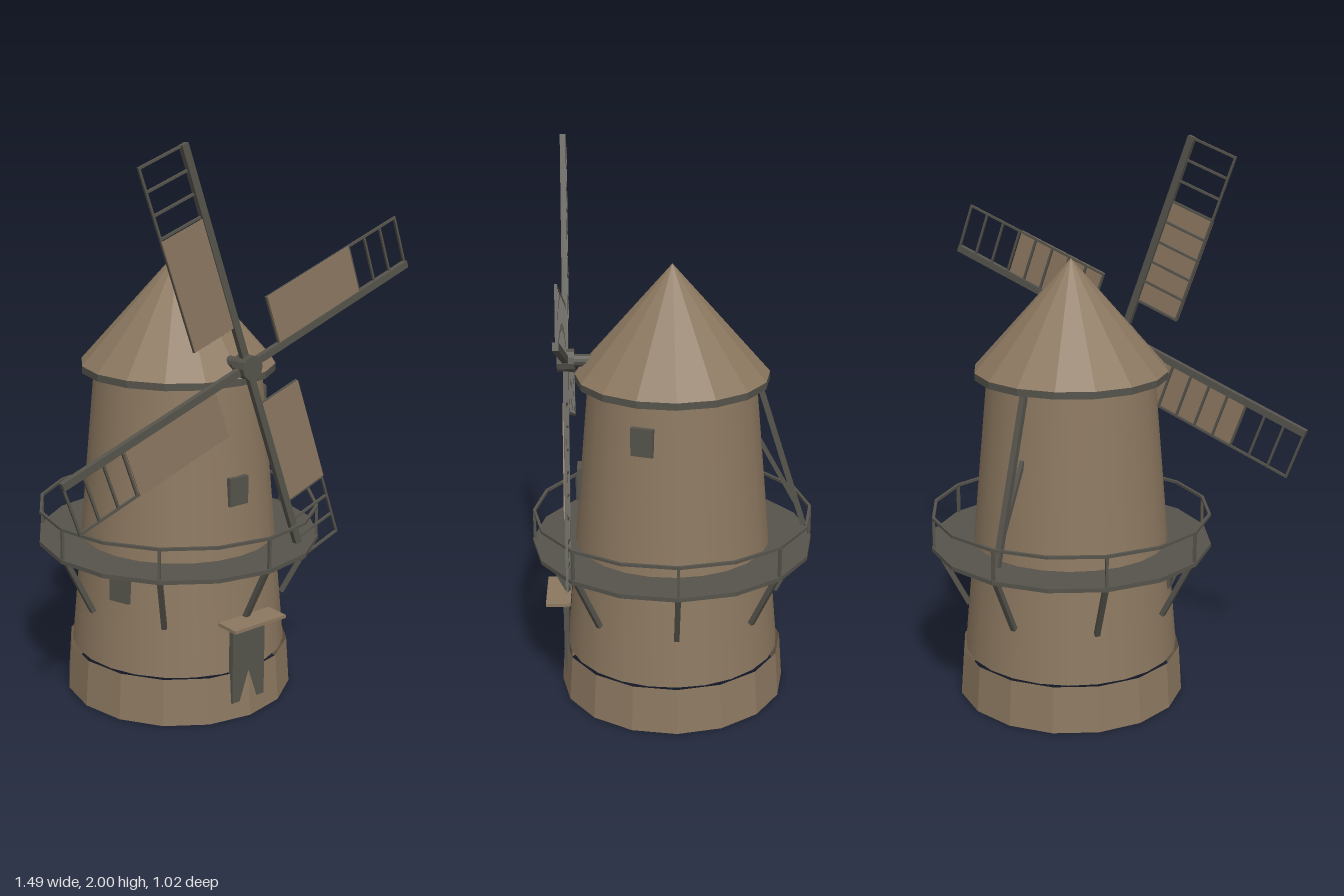
import * as THREE from 'three';

const tan = new THREE.MeshStandardMaterial({ color: 0x8c7860, side: THREE.DoubleSide });
tan.name = 'weathered tan';
const grey = new THREE.MeshStandardMaterial({ color: 0x55534b });
grey.name = 'dark timber';

const SIDES = 16;

// Tower radius at a given height
const towerRadius = (y) => THREE.MathUtils.mapLinear(y, 0.172, 1.2, 0.39, 0.297);

// Point on a circle, angle measured from the front (+z) towards +x
const around = (r, y, a) => new THREE.Vector3(r * Math.sin(a), y, r * Math.cos(a));

function add(parent, name, geometry, material, x = 0, y = 0, z = 0) {
  const mesh = new THREE.Mesh(geometry, material);
  mesh.name = name;
  mesh.position.set(x, y, z);
  parent.add(mesh);
  return mesh;
}

function box(parent, name, material, w, h, d, x, y, z) {
  return add(parent, name, new THREE.BoxGeometry(w, h, d), material, x, y, z);
}

// Square timber between two points
function bar(parent, name, a, b, t) {
  const mid = a.clone().add(b).multiplyScalar(0.5);
  const mesh = box(parent, name, grey, t, t, a.distanceTo(b), mid.x, mid.y, mid.z);
  mesh.lookAt(b);
  return mesh;
}

function flat(geometry) {
  const g = geometry.toNonIndexed();
  g.computeVertexNormals();
  return g;
}

// Faceted ring with a rectangular section
function ring(parent, name, rIn, rOut, y0, y1) {
  const profile = [[rIn, y0], [rOut, y0], [rOut, y1], [rIn, y1], [rIn, y0]]
    .map(([r, y]) => new THREE.Vector2(r, y));
  return add(parent, name, flat(new THREE.LatheGeometry(profile, SIDES)), grey);
}

function buildBody(model) {
  // Hollow plinth and tapered tower, with a narrow step between them
  add(model, 'plinth', flat(new THREE.CylinderGeometry(0.403, 0.415, 0.17, SIDES, 1, true)), tan, 0, 0.085, 0);
  add(model, 'tower', new THREE.CylinderGeometry(0.297, 0.39, 1.028, 24, 1, true), tan, 0, 0.686, 0);

  // Conical cap with its eaves
  add(model, 'roof', flat(new THREE.ConeGeometry(0.345, 0.39, SIDES)), tan, 0, 1.405, 0);
  ring(model, 'eaves', 0.28, 0.345, 1.185, 1.21);

  // Door and the board above it
  box(model, 'door', grey, 0.145, 0.27, 0.02, 0, 0.195, 0.393);
  box(model, 'doorCanopy', tan, 0.23, 0.012, 0.09, 0, 0.362, 0.42);

  // Shuttered windows
  for (const [y, a] of [[0.813, 0], [1.055, 1.2], [0.472, -1.24]]) {
    const p = around(towerRadius(y) - 0.002, y, a);
    box(model, 'window', grey, 0.08, 0.1, 0.025, p.x, p.y, p.z).rotation.y = a;
  }
}

function buildGallery(model) {
  const gallery = new THREE.Group();
  gallery.name = 'gallery';
  model.add(gallery);
  ring(gallery, 'deck', 0.34, 0.51, 0.565, 0.58);

  // Handrail following the deck edge
  for (let i = 0; i < SIDES; i++) {
    const a = (i / SIDES) * Math.PI * 2;
    bar(gallery, 'handrail', around(0.502, 0.688, a), around(0.502, 0.688, a + Math.PI * 2 / SIDES), 0.01);
  }
  // Posts and the struts below the deck
  for (let i = 0; i < 8; i++) {
    const a = (i / 8) * Math.PI * 2;
    const p = around(0.502, 0.633, a);
    box(gallery, 'railPost', grey, 0.01, 0.112, 0.01, p.x, p.y, p.z).rotation.y = a;
    bar(gallery, 'strut', around(0.49, 0.57, a), around(0.38, 0.355, a), 0.018);
  }
}

function buildSails(model) {
  const sails = new THREE.Group();
  sails.name = 'sails';
  sails.position.set(0, 1.257, 0.374);
  model.add(sails);

  // Shaft and hub
  const shaft = add(sails, 'shaft', flat(new THREE.CylinderGeometry(0.022, 0.022, 0.14, 12)), grey, 0, 0, -0.05);
  const hub = add(sails, 'hub', flat(new THREE.CylinderGeometry(0.042, 0.042, 0.06, 12)), grey);
  shaft.rotation.x = hub.rotation.x = Math.PI / 2;

  for (let i = 0; i < 4; i++) {
    const blade = new THREE.Group();
    blade.name = 'blade';
    blade.rotation.z = THREE.MathUtils.degToRad(20 + 90 * i);
    sails.add(blade);
    box(blade, 'arm', grey, 0.79, 0.026, 0.02, 0.395, 0, 0);
    box(blade, 'outerRail', grey, 0.64, 0.008, 0.008, 0.47, 0.181, -0.003);
    for (let k = 0; k <= 8; k++) {
      box(blade, 'rung', grey, 0.008, 0.185, 0.008, 0.154 + 0.079 * k, 0.0925, -0.003);
    }
    box(blade, 'cloth', tan, 0.39, 0.173, 0.004, 0.348, 0.0985, 0.004);
  }
}

function buildTailPole(model) {
  // Long tail pole at the back with its brace
  const v = (y, z) => new THREE.Vector3(0, y, z);
  bar(model, 'tailPole', v(1.19, -0.3), v(0.62, -0.48), 0.021);
  bar(model, 'tailBrace', v(0.95, -0.315), v(0.71, -0.447), 0.015);
}

export function createModel() {
  const model = new THREE.Group();
  model.name = 'windmill';
  buildBody(model);
  buildGallery(model);
  buildSails(model);
  buildTailPole(model);
  return model;
}
